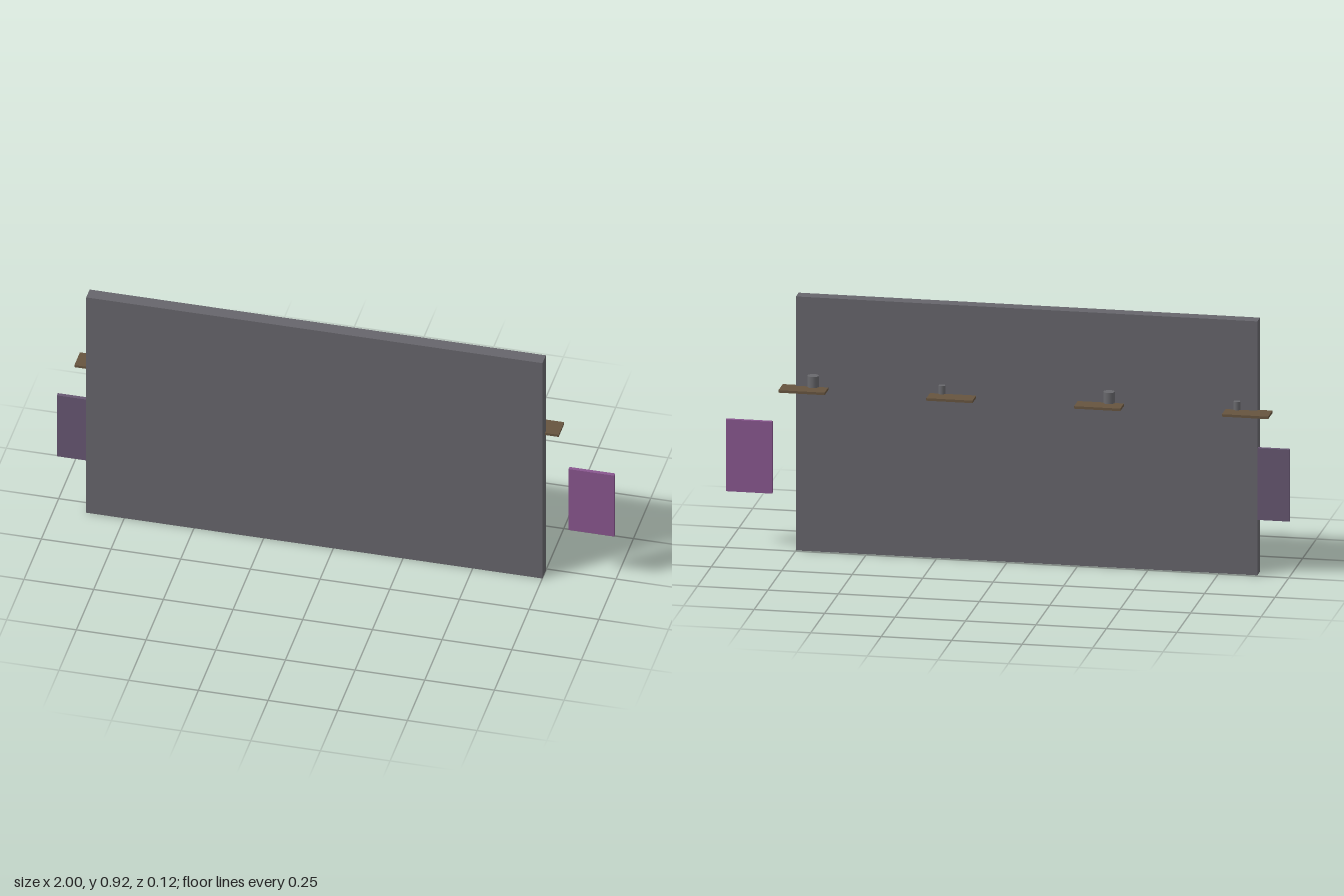
import * as THREE from 'three';

export function createModel() {
  const group = new THREE.Group();
  const mat = (name, color) => Object.assign(new THREE.MeshStandardMaterial({ color }), { name });
  const wallGrey = mat('wall grey', 0x66656b);
  const cupGrey = mat('cup grey', 0x68686c);
  const wood = mat('dark wood', 0x66543f);
  const purple = mat('purple', 0x88568e);
  const dullPurple = mat('dull purple', 0x665671);

  const add = (name, geometry, material, x, y, z) => {
    const mesh = new THREE.Mesh(geometry, material);
    mesh.name = name;
    mesh.position.set(x, y, z);
    group.add(mesh);
  };

  // Main wall slab, set slightly off centre
  add('wall', new THREE.BoxGeometry(1.637, 0.92, 0.049), wallGrey, -0.068, 0.46, 0.0345);

  // Hanging panels at both ends
  const panel = new THREE.BoxGeometry(0.164, 0.26, 0.014);
  add('leftPanel', panel, purple, 0.918, 0.33, 0.02);
  add('rightPanel', panel, dullPurple, -0.918, 0.33, 0.02);

  // Row of shelves on the back, each with a cup hovering just above;
  // small and large cups alternate
  const shelf = new THREE.BoxGeometry(0.164, 0.009, 0.079);
  const smallCup = new THREE.CylinderGeometry(0.012, 0.012, 0.03, 16);
  const largeCup = new THREE.CylinderGeometry(0.02, 0.02, 0.04, 24);
  [-0.82, -0.366, 0.227, 0.684].forEach((cupX, i) => {
    const large = i % 2 === 1;
    add('shelf', shelf, wood, -0.856 + i * 0.5245, 0.592, -0.0175);
    add('cup', large ? largeCup : smallCup, cupGrey, cupX, large ? 0.625 : 0.62, -0.018);
  });

  return group;
}
